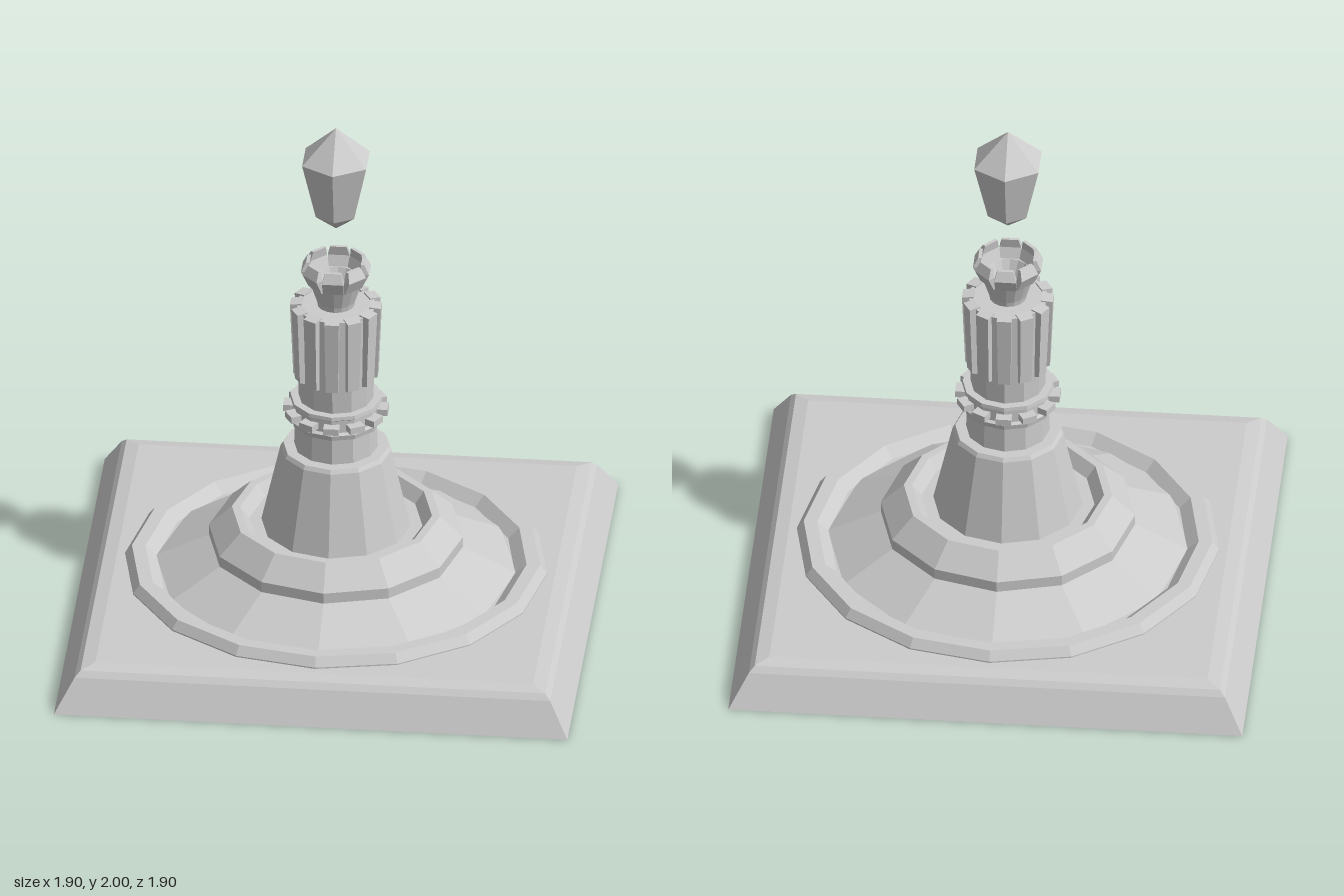
import * as THREE from 'three';

const material = new THREE.MeshStandardMaterial({ color: 0xcccccc, flatShading: true });

function add(parent, name, geometry) {
  const mesh = new THREE.Mesh(geometry, material);
  mesh.name = name;
  parent.add(mesh);
  return mesh;
}

// Faceted turned part from [radius, height] pairs, listed from bottom to top
function turned(parent, name, sides, points) {
  const profile = points.map(([r, y]) => new THREE.Vector2(r, y));
  return add(parent, name, new THREE.LatheGeometry(profile, sides));
}

// Ring of copies, each facing outward
function ring(parent, name, count, makeGeometry) {
  const group = new THREE.Group();
  group.name = name + 's';
  const geometry = makeGeometry();
  for (let i = 0; i < count; i++) {
    add(group, name, geometry).rotation.y = (i / count) * Math.PI * 2;
  }
  parent.add(group);
}

// Block around +z whose width, depth range and height differ at bottom and top
function taperedBlock(bottom, top) {
  const geometry = new THREE.BoxGeometry(1, 1, 1);
  const p = geometry.attributes.position;
  for (let i = 0; i < p.count; i++) {
    const s = p.getY(i) < 0 ? bottom : top;
    const outer = p.getZ(i) > 0;
    p.setXYZ(i, p.getX(i) * s.width, outer ? s.yOuter : s.yInner, outer ? s.outer : s.inner);
  }
  geometry.computeVertexNormals();
  return geometry;
}

export function createModel() {
  const model = new THREE.Group();
  model.name = 'crystalPedestal';

  // Square plinth with bevelled upper edges
  const k = Math.SQRT2;
  const plinth = turned(model, 'plinth', 4, [
    [0, 0], [0.95 * k, 0], [0.88 * k, 0.12], [0.86 * k, 0.14], [0.81 * k, 0.15], [0, 0.15],
  ]);
  plinth.rotation.y = Math.PI / 4;

  // Raised rim and stepped foot
  turned(model, 'outerRim', 16, [[0.78, 0.145], [0.78, 0.155], [0.755, 0.188], [0.705, 0.188], [0.66, 0.148]]);
  turned(model, 'steppedFoot', 12, [
    [0.67, 0.148], [0.47, 0.25], [0.47, 0.292], [0.385, 0.375], [0.355, 0.375], [0.32, 0.33], [0.26, 0.33],
  ]);

  // Tapering body and narrow neck
  turned(model, 'taperedBody', 12, [[0.277, 0.325], [0.205, 0.645], [0.195, 0.66], [0.14, 0.66]]);
  turned(model, 'neck', 12, [[0.155, 0.655], [0.15, 0.78]]);

  // Collar with small studs
  turned(model, 'collar', 12, [
    [0.14, 0.768], [0.168, 0.768], [0.172, 0.788], [0.16, 0.795],
    [0.16, 0.845], [0.17, 0.852], [0.168, 0.866], [0.13, 0.866],
  ]);
  ring(model, 'stud', 12, () => new THREE.BoxGeometry(0.058, 0.026, 0.05).translate(0, 0.818, 0.168));

  // Column shaft with vertical ribs
  turned(model, 'shaft', 12, [[0.138, 0.86], [0.15, 1.255], [0, 1.255]]);
  ring(model, 'rib', 12, () => taperedBlock(
    { width: 0.046, inner: 0.125, outer: 0.156, yInner: 0.955, yOuter: 0.965 },
    { width: 0.054, inner: 0.125, outer: 0.168, yInner: 1.262, yOuter: 1.257 },
  ));

  // Flared cup with pronged rim
  turned(model, 'cup', 16, [[0.068, 1.25], [0.072, 1.275], [0.102, 1.365], [0.082, 1.365], [0.05, 1.3], [0, 1.3]]);
  ring(model, 'prong', 8, () => taperedBlock(
    { width: 0.076, inner: 0.078, outer: 0.1, yInner: 1.35, yOuter: 1.35 },
    { width: 0.08, inner: 0.1, outer: 0.126, yInner: 1.405, yOuter: 1.405 },
  ));
  ring(model, 'prongTip', 8, () => taperedBlock(
    { width: 0.08, inner: 0.1, outer: 0.126, yInner: 1.405, yOuter: 1.405 },
    { width: 0.06, inner: 0.095, outer: 0.108, yInner: 1.442, yOuter: 1.442 },
  ));

  // Floating six-sided crystal
  turned(model, 'crystal', 6, [[0, 1.575], [0.082, 1.642], [0.137, 1.87], [0, 2]]);

  return model;
}
